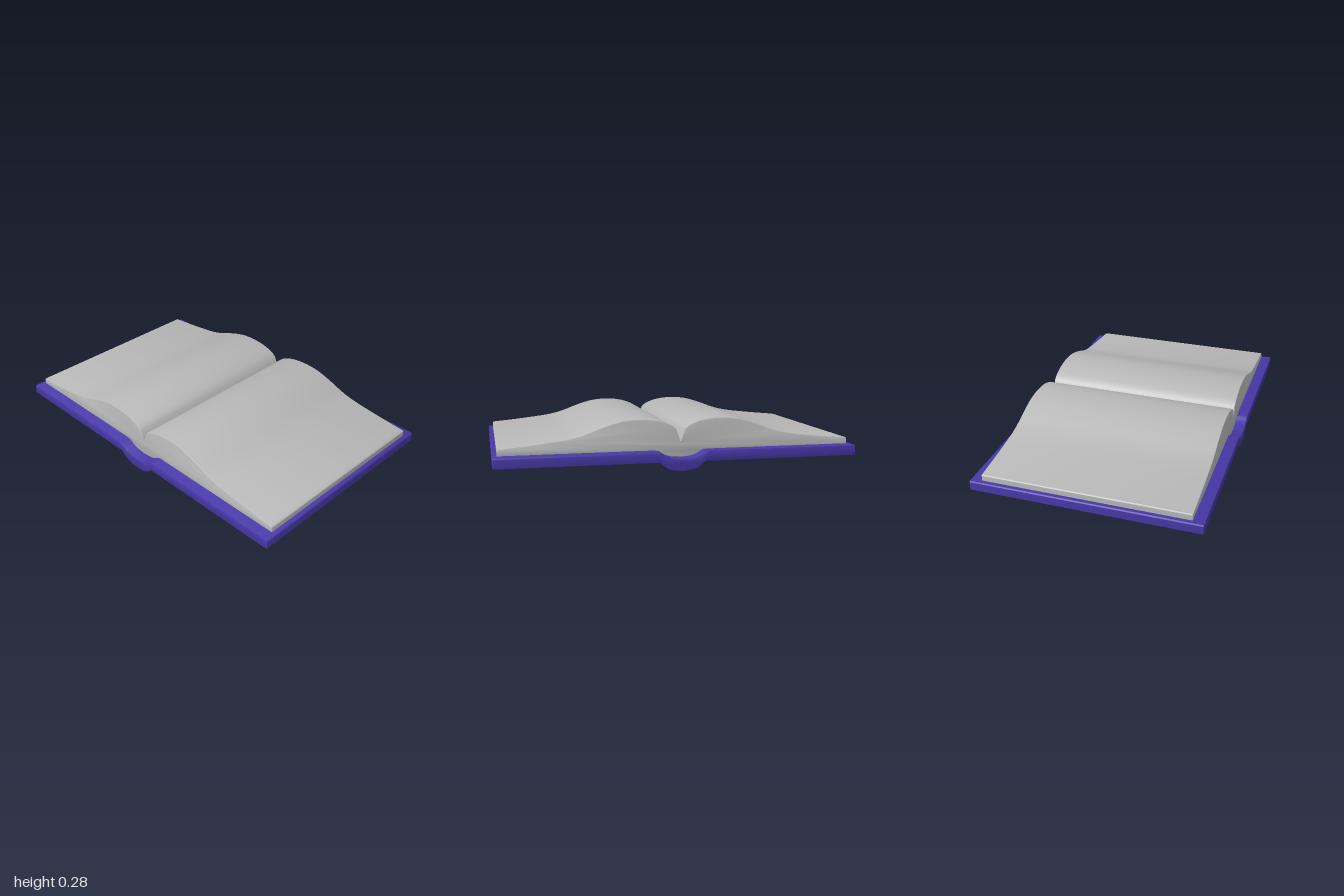
import * as THREE from 'three';
import { toCreasedNormals } from 'three/addons/utils/BufferGeometryUtils.js';

const vectors = (list) => list.map(([x, y]) => new THREE.Vector2(x, y));

// Smooth curve through a few points
const smooth = (list, steps) => new THREE.SplineCurve(vectors(list)).getPoints(steps);

// Mirror a run of points that ends on x = 0 to the other side
const mirrored = (points) => [
  ...points,
  ...points.slice(0, -1).reverse().map((p) => new THREE.Vector2(-p.x, p.y)),
];

// Extrude a front profile along z, centred, with small bevels on both ends
function extrudeProfile(points, halfDepth, bevel) {
  const geometry = new THREE.ExtrudeGeometry(new THREE.Shape(points), {
    depth: 2 * (halfDepth - bevel),
    steps: 1,
    bevelEnabled: true,
    bevelThickness: bevel,
    bevelSize: bevel,
    bevelOffset: -bevel,
    bevelSegments: 2,
  });
  geometry.translate(0, 0, -(halfDepth - bevel));
  return toCreasedNormals(geometry, 0.6);
}

export function createModel() {
  const coverMaterial = new THREE.MeshStandardMaterial({ color: 0x4838a8 });
  coverMaterial.name = 'purple cover';
  const pageMaterial = new THREE.MeshStandardMaterial({ color: 0xb8b8b8 });
  pageMaterial.name = 'grey paper';

  const book = new THREE.Group();
  book.name = 'openBook';

  // Cover: two flat boards joined by a rounded spine that bulges downward
  const coverTop = mirrored([
    ...vectors([[0.994, 0.108], [0.15, 0.108]]),
    ...smooth([[0.12, 0.104], [0.095, 0.087], [0.06, 0.074], [0, 0.068]], 8),
  ]);
  const coverBottom = mirrored([
    ...vectors([[0.994, 0.05], [0.13, 0.05]]),
    ...smooth([[0.118, 0.044], [0.09, 0.02], [0.055, 0.005], [0, 0]], 8),
  ]).reverse();
  const coverProfile = [
    new THREE.Vector2(1, 0.102),
    ...coverTop,
    new THREE.Vector2(-1, 0.102),
    new THREE.Vector2(-1, 0.056),
    ...coverBottom,
    new THREE.Vector2(1, 0.056),
  ];
  const cover = new THREE.Mesh(extrudeProfile(coverProfile, 0.637, 0.006), coverMaterial);
  cover.name = 'cover';
  book.add(cover);

  // Pages: two curved halves that meet in a deep gutter over the spine
  const pageTop = mirrored([
    ...smooth([
      [0.968, 0.143], [0.8, 0.159], [0.62, 0.181], [0.52, 0.205], [0.42, 0.242],
      [0.32, 0.27], [0.22, 0.278], [0.13, 0.269], [0.06, 0.247], [0.024, 0.222],
    ], 36),
    new THREE.Vector2(0, 0.155),
  ]);
  const pageBottom = mirrored([
    ...vectors([[0.974, 0.106], [0.15, 0.106]]),
    ...smooth([[0.12, 0.102], [0.095, 0.085], [0.06, 0.072], [0, 0.066]], 8),
  ]).reverse();
  const pageProfile = [
    new THREE.Vector2(0.974, 0.138),
    ...pageTop,
    new THREE.Vector2(-0.974, 0.138),
    ...pageBottom,
  ];
  const pages = new THREE.Mesh(extrudeProfile(pageProfile, 0.575, 0.005), pageMaterial);
  pages.name = 'pages';
  book.add(pages);

  return book;
}
